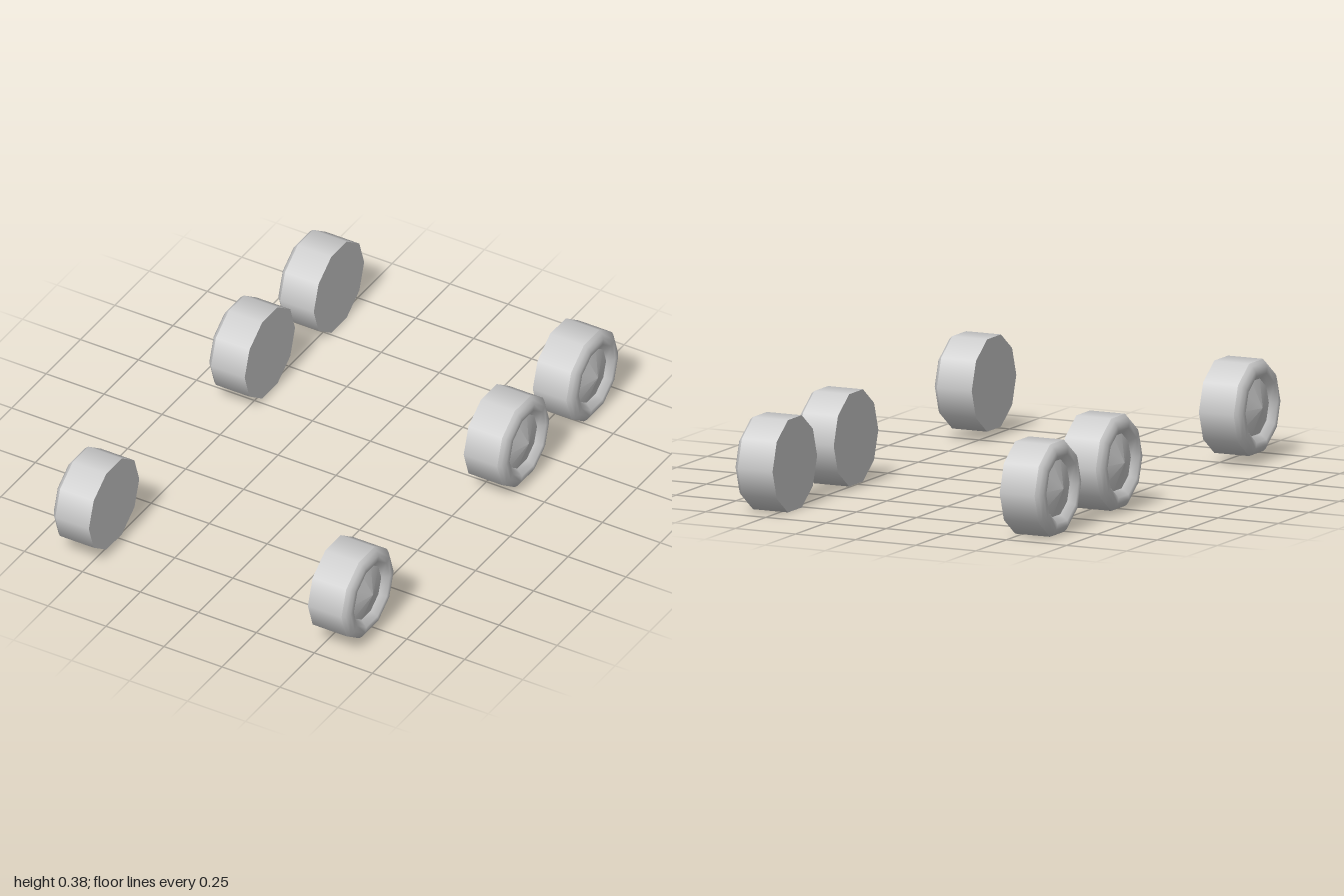
import * as THREE from 'three';

const SIDES = 10;
const material = new THREE.MeshStandardMaterial({ color: 0xcccccc });

// Turns a profile of [radius, distance along the axle] around the x axis.
function turned(name, profile) {
  const points = profile.map(([r, a]) => new THREE.Vector2(r, a));
  const geometry = new THREE.LatheGeometry(points, SIDES).rotateZ(-Math.PI / 2);
  const mesh = new THREE.Mesh(geometry, material);
  mesh.name = name;
  return mesh;
}

// One wheel with its inner face at x = 0 and its hub towards +x.
function createWheel(name) {
  const wheel = new THREE.Group();
  wheel.name = name;
  wheel.add(
    turned('innerFace', [[0, 0], [0.183, 0]]),
    turned('tread', [[0.183, 0], [0.183, 0.145]]),
    // rounded shoulder, sidewall and lip down to the recessed hub
    turned('sidewall', [[0.183, 0.145], [0.173, 0.157], [0.155, 0.168], [0.132, 0.168], [0.109, 0.143]]),
    turned('hub', [[0.109, 0.143], [0, 0.173]])
  );
  return wheel;
}

export function createModel() {
  const model = new THREE.Group();
  model.name = 'wheelSet';

  // Axles: each sits a little higher towards the front.
  const axles = [
    ['front', 0.206, 0.817],
    ['middle', 0.188, -0.315],
    ['rear', 0.174, -0.817],
  ];
  for (const [label, y, z] of axles) {
    for (const side of [1, -1]) {
      const wheel = createWheel(label + (side > 0 ? 'LeftWheel' : 'RightWheel'));
      wheel.position.set(side * 0.472, y, z);
      if (side < 0) wheel.rotation.y = Math.PI;
      model.add(wheel);
    }
  }
  return model;
}
